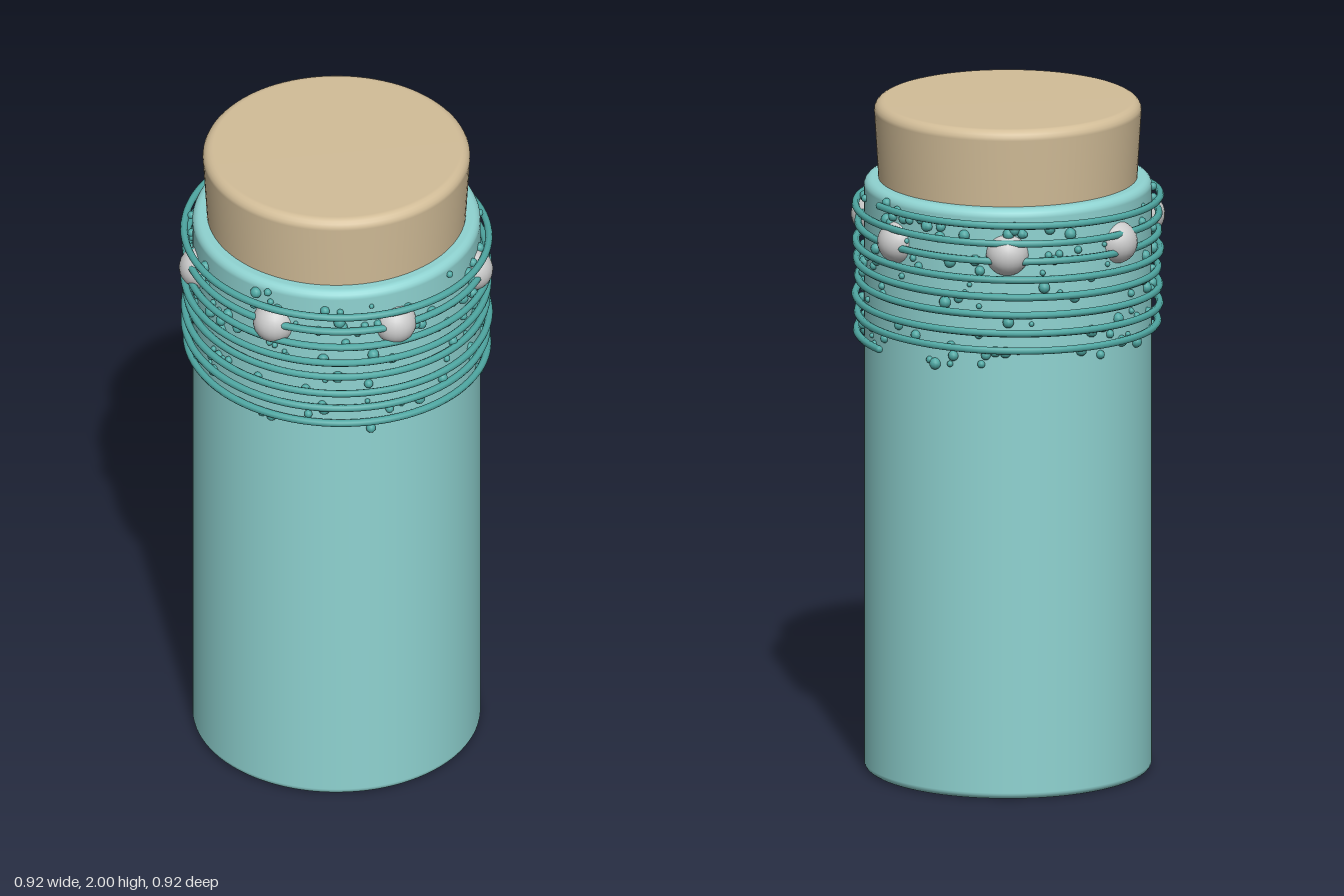
import * as THREE from 'three';
import { mergeGeometries } from 'three/addons/utils/BufferGeometryUtils.js';

const AXIS_X = -0.008;

function part(name, geometry, color) {
  const mesh = new THREE.Mesh(geometry, new THREE.MeshStandardMaterial({ color }));
  mesh.name = name;
  return mesh;
}

// Solid of revolution with rounded top and bottom rims
function roundedDrum(rBottom, rTop, yBottom, yTop, bevelBottom, bevelTop) {
  const points = [new THREE.Vector2(0, yBottom)];
  const steps = 5;
  for (let i = 0; i <= steps; i++) {
    const a = (i / steps) * Math.PI / 2;
    points.push(new THREE.Vector2(
      rBottom - bevelBottom * (1 - Math.sin(a)), yBottom + bevelBottom * (1 - Math.cos(a))));
  }
  for (let i = 0; i <= steps; i++) {
    const a = (i / steps) * Math.PI / 2;
    points.push(new THREE.Vector2(
      rTop - bevelTop * (1 - Math.cos(a)), yTop - bevelTop * (1 - Math.sin(a))));
  }
  points.push(new THREE.Vector2(0, yTop));
  return new THREE.LatheGeometry(points, 96);
}

// Wire wound downwards around the neck
class Coil extends THREE.Curve {
  getPoint(t, target = new THREE.Vector3()) {
    const turns = 8;
    const angle = -Math.PI / 4 - t * turns * Math.PI * 2;
    const radius = 0.441 + 0.004 * Math.sin(t * 19);
    const y = 1.737 - 0.43 * t;
    return target.set(radius * Math.cos(angle), y, radius * Math.sin(angle));
  }
}

// Small seeded generator for the scattered droplets
function seeded(seed) {
  return () => {
    seed = (seed * 16807) % 2147483647;
    return seed / 2147483647;
  };
}

function dropletGeometry(count) {
  const random = seeded(4217);
  const drops = [];
  for (let i = 0; i < count; i++) {
    const angle = random() * Math.PI * 2;
    const y = 1.285 + 0.465 * random();
    const size = 0.007 + 0.011 * random();
    const drop = new THREE.SphereGeometry(size, 10, 8);
    drop.translate(0.423 * Math.cos(angle), y, 0.423 * Math.sin(angle));
    drops.push(drop);
  }
  return mergeGeometries(drops);
}

export function createModel() {
  const model = new THREE.Group();
  model.name = 'corkedJar';
  const jar = new THREE.Group();
  jar.name = 'jar';
  jar.position.x = AXIS_X;
  model.add(jar);

  // Container and tapered stopper
  jar.add(part('body', roundedDrum(0.42, 0.42, 0, 1.77, 0.02, 0.025), 0x8fd3d1));
  jar.add(part('stopper', roundedDrum(0.368, 0.39, 1.6, 2, 0.01, 0.03), 0xd2bd98));

  // Wire winding with closed ends
  const coil = new Coil();
  const wire = new THREE.Group();
  wire.name = 'wire';
  wire.add(part('wireCoil', new THREE.TubeGeometry(coil, 768, 0.011, 8), 0x4fa8a3));
  for (const t of [0, 1]) {
    const end = part('wireEnd', new THREE.SphereGeometry(0.011, 8, 6), 0x4fa8a3);
    end.position.copy(coil.getPoint(t));
    wire.add(end);
  }
  jar.add(wire);

  // Seven large beads around the neck
  const beads = new THREE.Group();
  beads.name = 'beads';
  for (let i = 0; i < 7; i++) {
    const a = (i / 7) * Math.PI * 2;
    const bead = part('bead', new THREE.SphereGeometry(0.063, 24, 16), 0xcccccc);
    bead.position.set(0.405 * Math.cos(a), 1.635, 0.405 * Math.sin(a));
    beads.add(bead);
  }
  jar.add(beads);

  // Tiny beads scattered under the wire
  jar.add(part('droplets', dropletGeometry(220), 0x4fa8a3));
  return model;
}
